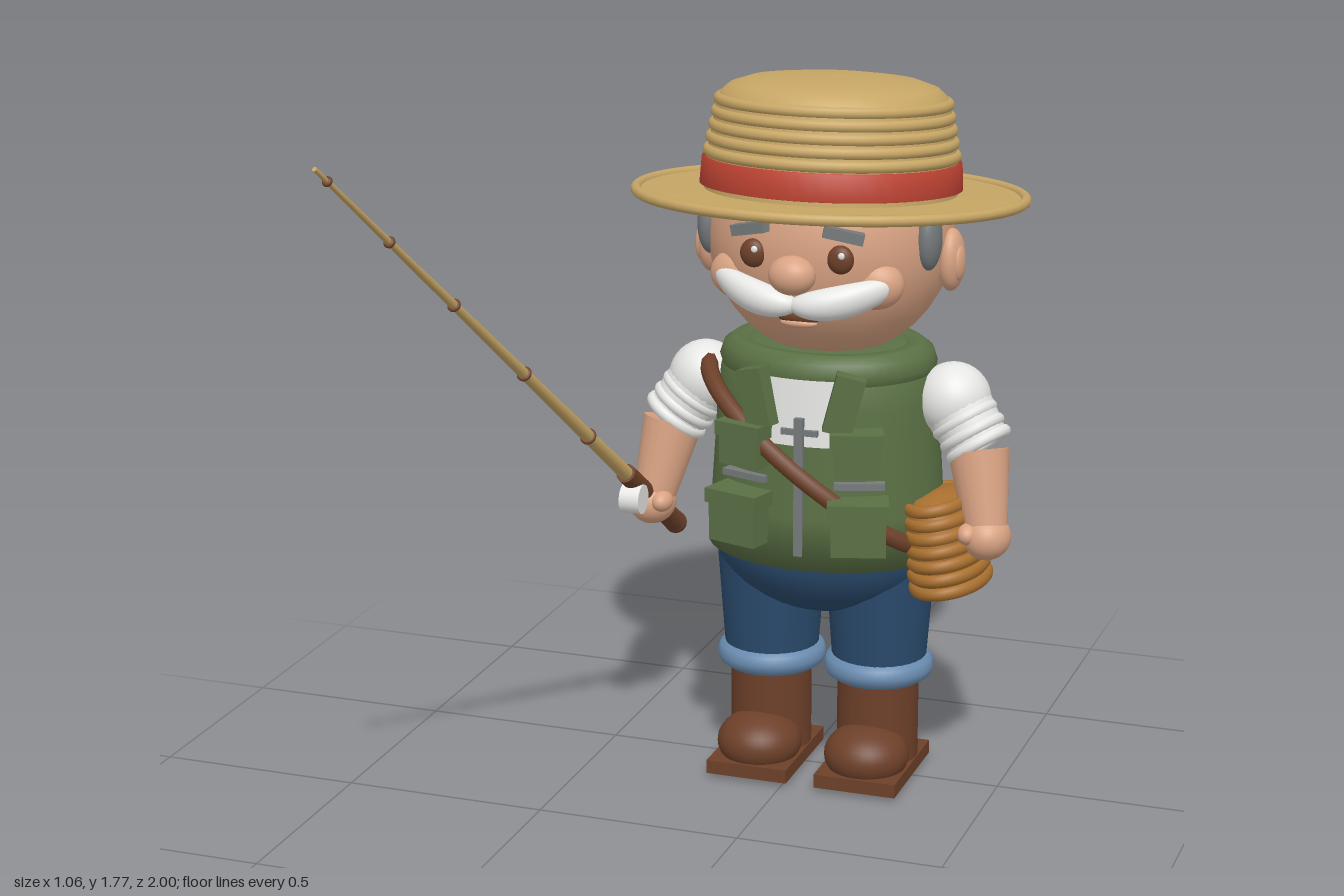
import * as THREE from 'three';

const mat = (name, color, side = THREE.FrontSide) => {
  const m = new THREE.MeshStandardMaterial({ color, side });
  m.name = name;
  return m;
};
const V = (x, y, z) => new THREE.Vector3(x, y, z);
const UP = V(0, 1, 0);

export function createModel() {
  const skin = mat('skin', 0xd9a383), straw = mat('straw', 0xc8a766), red = mat('red band', 0xbf4433);
  const grey = mat('grey', 0x767a7b), white = mat('white cloth', 0xe6e6e4, THREE.DoubleSide);
  const green = mat('vest green', 0x5a7044), denim = mat('denim', 0x2a4a6c), cuffBlue = mat('light denim', 0x6a8cb0);
  const brown = mat('brown leather', 0x6d4029), wicker = mat('wicker', 0xa9702f);

  const root = new THREE.Group();
  const body = new THREE.Group();
  body.name = 'fisherman';
  body.position.set(0.05, 0, -0.525);
  root.add(body);

  const add = (name, geo, m, x = 0, y = 0, z = 0, parent = body) => {
    const mesh = new THREE.Mesh(geo, m);
    mesh.name = name;
    mesh.position.set(x, y, z);
    parent.add(mesh);
    return mesh;
  };
  const ball = (name, m, x, y, z, rx, ry = rx, rz = rx) =>
    add(name, new THREE.SphereGeometry(1, 32, 20).scale(rx, ry, rz), m, x, y, z);
  const box = (name, m, x, y, z, w, h, d, ry = 0, rz = 0) => {
    const b = add(name, new THREE.BoxGeometry(w, h, d), m, x, y, z);
    b.rotation.set(0, ry, rz);
    return b;
  };
  const ring = (name, m, r, tube, x, y, z, parent = body) =>
    add(name, new THREE.TorusGeometry(r, tube, 10, 48).rotateX(Math.PI / 2), m, x, y, z, parent);
  const lathe = (name, m, pts, parent = body, start = 0, len = Math.PI * 2) =>
    add(name, new THREE.LatheGeometry(pts.map(p => new THREE.Vector2(...p)), 48, start, len), m, 0, 0, 0, parent);
  // Cylinder from a (radius ra) to b (radius rb)
  const rodBetween = (name, m, a, b, ra, rb) => {
    const mid = a.clone().add(b).multiplyScalar(0.5);
    const c = add(name, new THREE.CylinderGeometry(rb, ra, a.distanceTo(b), 20), m, mid.x, mid.y, mid.z);
    c.quaternion.setFromUnitVectors(UP, b.clone().sub(a).normalize());
    return c;
  };

  // Legs, cuffs and boots
  ball('hips', denim, 0, 0.6, 0, 0.28, 0.19, 0.225);
  for (const s of [-1, 1]) {
    const x = s * 0.138;
    add('trouserLeg', new THREE.CylinderGeometry(0.134, 0.114, 0.27, 32), denim, x, 0.415, 0.005);
    ring('trouserCuff', cuffBlue, 0.102, 0.033, x, 0.28, 0.005);
    add('bootShaft', new THREE.CylinderGeometry(0.1, 0.1, 0.22, 32), brown, x, 0.155, 0.01);
    ball('bootToe', brown, x, 0.075, 0.1, 0.104, 0.075, 0.105);
    ball('bootHeel', brown, x, 0.07, 0.005, 0.1, 0.06, 0.1);
    box('bootSole', brown, x, 0.028, 0.052, 0.205, 0.034, 0.305);
  }

  // Vest body, collar and shirt front
  const vestProfile = [[0.293, 0.575], [0.286, 0.7], [0.276, 0.85], [0.27, 0.96], [0.262, 1.02], [0.24, 1.065]];
  lathe('vest', green, [[0, 0.575], ...vestProfile, [0.18, 1.09], [0, 1.09]]).scale.z = 0.79;
  ring('vestCollar', green, 0.215, 0.05, 0, 1.045, 0).scale.z = 0.8;
  lathe('shirtFront', white, [[0.281, 0.88], [0.276, 0.96], [0.27, 1.04]], body, -0.36, 0.72).scale.z = 0.79;
  box('zipper', grey, 0, 0.78, 0.222, 0.022, 0.34, 0.02);
  box('shirtPlacket', grey, 0, 0.915, 0.222, 0.09, 0.014, 0.014);
  for (const s of [-1, 1]) {
    const turn = s * 0.3;
    box('lapel', green, s * 0.105, 0.99, 0.21, 0.07, 0.14, 0.05, turn, -s * 0.25);
    box('upperPocket', green, s * 0.137, 0.865, 0.205, 0.11, 0.09, 0.07, turn);
    box('upperPocketFlap', green, s * 0.137, 0.91, 0.213, 0.125, 0.035, 0.075, turn);
    box('pocketTape', grey, s * 0.14, 0.79, 0.195, 0.12, 0.016, 0.03, turn);
    box('lowerPocket', green, s * 0.145, 0.69, 0.215, 0.13, 0.115, 0.09, turn);
    box('lowerPocketFlap', green, s * 0.145, 0.745, 0.222, 0.145, 0.035, 0.095, turn);
  }

  // Shoulder strap looping round the torso
  const loop = [];
  for (let i = 0; i < 20; i++) {
    const a = i / 20 * Math.PI * 2, x = 0.292 * Math.sin(a);
    loop.push(V(x, 0.81 - 0.72 * x, Math.cos(a) * (Math.cos(a) > 0 ? 0.232 : 0.245)));
  }
  add('strap', new THREE.TubeGeometry(new THREE.CatmullRomCurve3(loop, true), 80, 0.022, 8, true), brown);

  // Wicker basket on the left hip
  const basket = new THREE.Group();
  basket.name = 'basket';
  basket.position.set(0.31, 0.63, 0.045);
  basket.rotation.z = 0.17;
  basket.scale.set(0.7, 1, 1);
  body.add(basket);
  lathe('basketBody', wicker, [[0, -0.11], [0.125, -0.11], [0.128, 0], [0.115, 0.09], [0.08, 0.115], [0, 0.122]], basket);
  for (let i = 0; i < 7; i++) ring('basketCoil', wicker, 0.125 - 0.0005 * i * i, 0.016, 0, -0.1 + i * 0.033, 0, basket);

  // Arms
  for (const s of [-1, 1]) {
    const shoulder = V(s * 0.312, 0.965, 0), cuff = V(s * 0.375, 0.875, 0.02), hand = V(s * 0.422, 0.66, 0.083);
    ball('shoulder', white, shoulder.x, shoulder.y, shoulder.z, 0.09);
    const sleeve = rodBetween('sleeve', white, shoulder, cuff, 0.086, 0.076);
    for (const t of [0.5, 0.82, 1.1]) {
      const p = shoulder.clone().lerp(cuff, t);
      ring('rolledCuff', white, 0.07, 0.015, p.x, p.y, p.z).quaternion.copy(sleeve.quaternion);
    }
    rodBetween('forearm', skin, V(s * 0.385, 0.855, 0.035), hand, 0.073, 0.05);
    ball('hand', skin, hand.x, hand.y, hand.z, 0.058, 0.056, 0.064);
    ball('thumb', skin, s * 0.385, 0.672, 0.115, 0.026, 0.026, 0.035);
  }

  // Fishing rod in the right hand
  const butt = V(-0.41, 0.565, -0.045), tip = V(-0.575, 1.765, 1.522);
  const at = t => butt.clone().lerp(tip, t);
  const pole = rodBetween('rodPole', straw, at(0.06), tip, 0.019, 0.005);
  rodBetween('rodGrip', brown, butt, at(0.17), 0.027, 0.024);
  ball('rodButt', brown, butt.x, butt.y, butt.z, 0.028);
  for (const t of [0.29, 0.48, 0.67, 0.83, 0.972]) {
    const p = at(t);
    ring('rodJoint', brown, 0.019 - 0.013 * t, 0.005, p.x, p.y, p.z).quaternion.copy(pole.quaternion);
  }
  const reel = at(0.13).add(V(0, -0.025, 0.03));
  add('reel', new THREE.CylinderGeometry(0.036, 0.036, 0.05, 24).rotateZ(Math.PI / 2), white, reel.x, reel.y, reel.z);

  // Head, ears and hair
  const hz = -0.015;
  ball('head', skin, 0, 1.35, hz, 0.295, 0.3, 0.285);
  const hairShell = (from, to, spread) => add('backHair',
    new THREE.SphereGeometry(1, 36, 10, Math.PI * (1.5 - spread / 2), Math.PI * spread, Math.PI * from, Math.PI * (to - from))
      .scale(0.302, 0.307, 0.292), grey, 0, 1.35, hz);
  hairShell(0.2, 0.54, 0.8);
  hairShell(0.54, 0.6, 0.72);
  hairShell(0.6, 0.65, 0.58);
  hairShell(0.65, 0.68, 0.4);

  // Face
  for (const s of [-1, 1]) {
    ball('ear', skin, s * 0.298, 1.303, -0.005, 0.032, 0.075, 0.05);
    ball('innerEar', skin, s * 0.318, 1.3, 0.005, 0.016, 0.045, 0.028);
    ball('sideburn', grey, s * 0.268, 1.37, 0.085, 0.03, 0.075, 0.045);
    ball('eye', brown, s * 0.105, 1.345, 0.25, 0.032, 0.034, 0.02);
    ball('eyeGlint', white, s * 0.105 + 0.008, 1.358, 0.269, 0.008, 0.008, 0.004);
    box('eyebrow', grey, s * 0.112, 1.403, 0.25, 0.095, 0.026, 0.03, s * 0.3, -s * 0.22);
    ball('cheek', skin, s * 0.165, 1.275, 0.175, 0.07, 0.06, 0.05);
    // Each moustache half is an ellipsoid bent up and back along its length
    const half = new THREE.SphereGeometry(1, 32, 18).scale(0.12, 0.04, 0.04).translate(s * 0.108, 0, 0);
    const p = half.attributes.position;
    for (let i = 0; i < p.count; i++) {
      const q = p.getX(i) ** 2;
      p.setY(i, p.getY(i) + 0.9 * q);
      p.setZ(i, p.getZ(i) - 1.8 * q);
    }
    half.computeVertexNormals();
    add('moustache', half, white, 0, 1.235, 0.272);
  }
  ball('nose', skin, 0, 1.308, 0.285, 0.056, 0.046, 0.045);
  ball('mouth', brown, 0, 1.198, 0.232, 0.052, 0.018, 0.015);
  ball('lowerLip', skin, 0, 1.183, 0.232, 0.045, 0.012, 0.016);

  // Straw hat, tipped slightly back
  const hat = new THREE.Group();
  hat.name = 'strawHat';
  hat.position.set(0, 1.432, -0.005);
  hat.rotation.x = -0.085;
  body.add(hat);
  lathe('hatBrim', straw, [[0, -0.012], [0.3, -0.012], [0.43, -0.006], [0.468, 0.004], [0.468, 0.014], [0.43, 0.01], [0.3, 0.016], [0, 0.016]], hat);
  ring('brimEdge', straw, 0.46, 0.013, 0, 0.009, 0, hat);
  lathe('hatCrown', straw, [[0.3, 0], [0.296, 0.1], [0.276, 0.22], [0.268, 0.242], [0.245, 0.262], [0.2, 0.277], [0.12, 0.286], [0, 0.29]], hat);
  lathe('hatBand', red, [[0.296, 0.025], [0.311, 0.028], [0.307, 0.09], [0.29, 0.093]], hat);
  for (let i = 0; i < 5; i++) ring('strawCoil', straw, 0.291 - 0.0055 * i, 0.014, 0, 0.106 + i * 0.03, 0, hat);

  return root;
}
